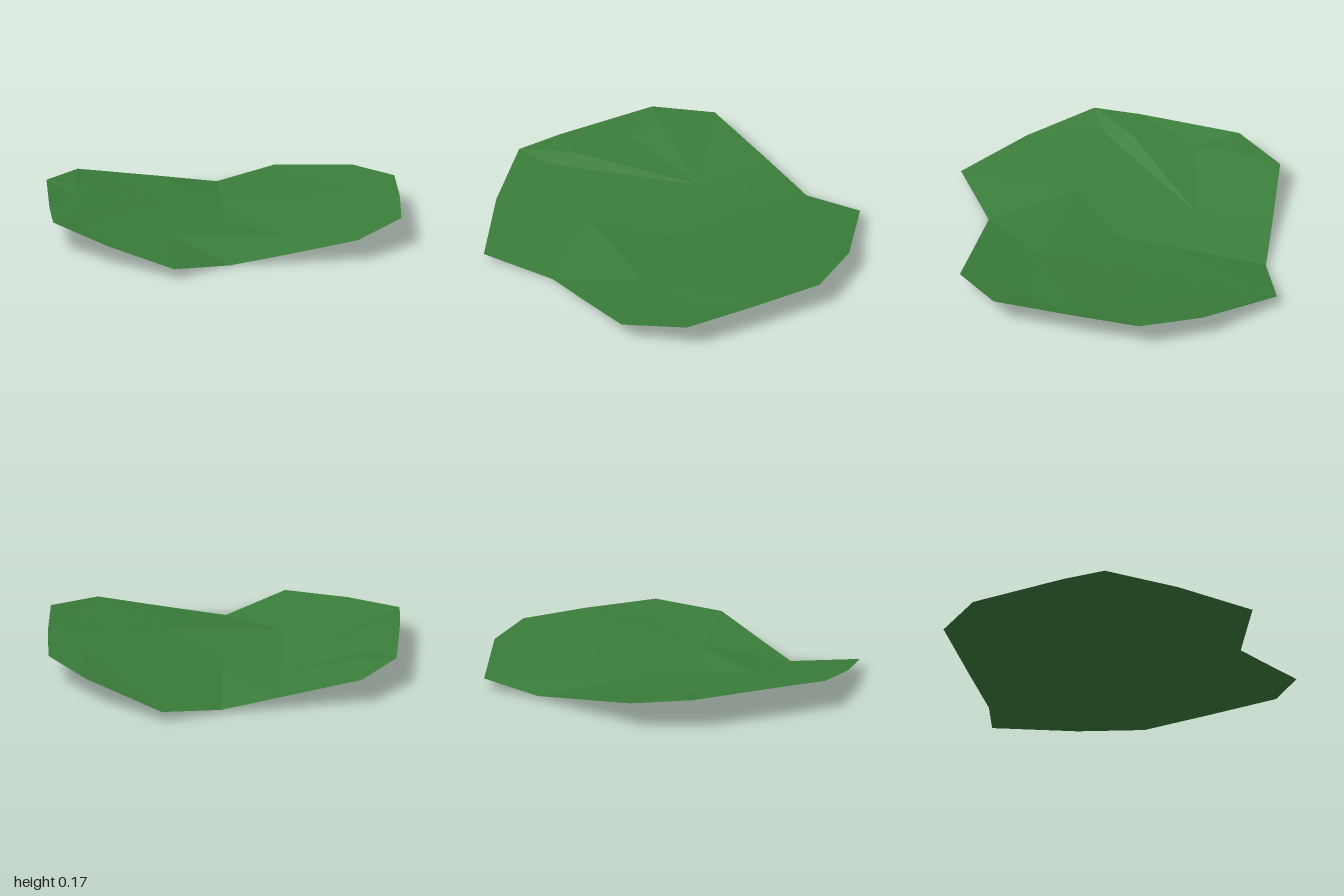
import * as THREE from 'three';

// Ribs of the leaf from its right edge (-x) to its left edge (+x), each running back to front.
const ribs = [
  [[-0.955, 0.167, -0.40], [-0.965, 0.17, 0.17], [-0.957, 0.165, 0.43]],
  [[-0.77, 0.143, -0.69], [-0.80, 0.155, -0.37], [-0.80, 0.135, -0.19], [-0.80, 0.152, 0.17], [-0.80, 0.13, 0.33], [-0.67, 0.113, 0.73]],
  [[-0.32, 0.07, -0.78], [-0.32, 0.06, -0.34], [-0.32, 0.062, 0.34], [-0.32, 0.056, 1]],
  [[0, 0.017, -0.84], [0, 0.036, -0.33], [0, 0.036, 0], [0, 0.048, 0.18], [0, 0.062, 0.35], [0, 0, 0.745]],
  [[0.32, 0.06, -1], [0.32, 0.075, -0.27], [0.32, 0.062, 0.36], [0.32, 0.053, 0.725]],
  [[0.74, 0.142, -0.70], [0.78, 0.138, -0.17], [0.78, 0.143, 0.05], [0.78, 0.13, 0.28], [0.70, 0.12, 0.70]],
  [[0.952, 0.167, -0.40], [0.963, 0.17, 0], [0.953, 0.165, 0.43]],
];

// Creases between neighbouring ribs: each letter steps forward on rib a or rib b.
const creases = ['bbababb', 'baaaabab', 'baabbbba', 'abbaaaab', 'baabbba', 'abaaba'];

function stitch(a, b, steps, out) {
  let i = 0, j = 0;
  for (const s of steps) {
    if (s === 'a') {
      out.push(...a[i], ...a[i + 1], ...b[j]);
      i++;
    } else {
      out.push(...a[i], ...b[j + 1], ...b[j]);
      j++;
    }
  }
}

export function createModel() {
  const group = new THREE.Group();
  group.name = 'leaf';

  // One thin creased sheet, folded upward along its middle
  const positions = [];
  creases.forEach((steps, k) => stitch(ribs[k], ribs[k + 1], steps, positions));
  const geometry = new THREE.BufferGeometry();
  geometry.setAttribute('position', new THREE.Float32BufferAttribute(positions, 3));
  geometry.computeVertexNormals();

  const blade = new THREE.Mesh(geometry, new THREE.MeshStandardMaterial({
    color: 0x3a7d3a, flatShading: true, side: THREE.DoubleSide,
  }));
  blade.name = 'leafBlade';
  group.add(blade);
  return group;
}
